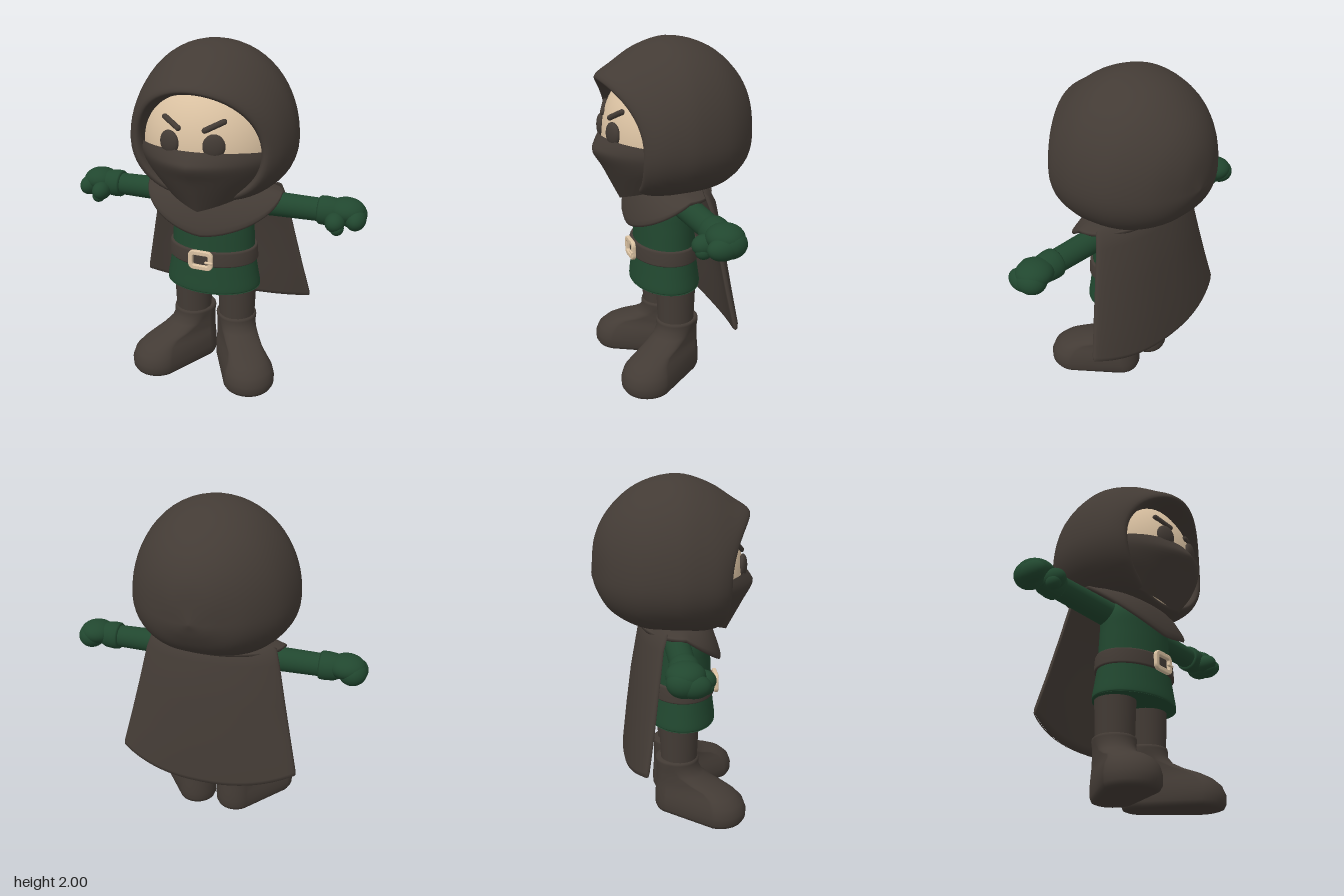
import * as THREE from 'three';

const V = (x, y, z) => new THREE.Vector3(x, y, z);
const flat = (name, color) => {
  const m = new THREE.MeshStandardMaterial({ color });
  m.name = name;
  return m;
};

// Skins a stack of closed rings, optionally capped, always facing outward.
function loft(rings, caps = true) {
  const n = rings[0].length, pts = rings.flat(), idx = [];
  for (let r = 0; r < rings.length - 1; r++) {
    for (let i = 0; i < n; i++) {
      const a = r * n + i, b = r * n + (i + 1) % n;
      idx.push(a, b, b + n, a, b + n, a + n);
    }
  }
  if (caps) {
    for (const [r, flip] of [[0, true], [rings.length - 1, false]]) {
      const c = rings[r].reduce((s, p) => s.add(p), V(0, 0, 0)).divideScalar(n);
      const k = pts.push(c) - 1;
      for (let i = 0; i < n; i++) {
        const a = r * n + i, b = r * n + (i + 1) % n;
        if (flip) idx.push(k, b, a); else idx.push(k, a, b);
      }
    }
  }
  let volume = 0;
  for (let i = 0; i < idx.length; i += 3) {
    volume += pts[idx[i]].dot(V(0, 0, 0).crossVectors(pts[idx[i + 1]], pts[idx[i + 2]]));
  }
  if (volume < 0) idx.reverse();
  const g = new THREE.BufferGeometry().setFromPoints(pts);
  g.setIndex(idx);
  g.computeVertexNormals();
  return g;
}

const ring = (n, f) => Array.from({ length: n }, (_, i) => f((i / n) * Math.PI * 2));
const lathe = (pts) => new THREE.LatheGeometry(pts.map(p => new THREE.Vector2(...p)), 40);
const curve = (pts) => new THREE.CatmullRomCurve3(pts.map(p => V(p[0], p[1], p[2] || 0)));
const lerp = THREE.MathUtils.lerp;
const spow = (v, p) => Math.sign(v) * Math.abs(v) ** p;

export function createModel() {
  const root = new THREE.Group();
  root.name = 'hoodedFigure';
  const cloth = flat('darkCloth', 0x433b35);
  const green = flat('greenCloth', 0x21472f);
  const skin = flat('paleSkin', 0xdcc3a3);
  const clothOpen = flat('maskCloth', 0x433b35);
  clothOpen.side = THREE.DoubleSide;
  const add = (name, geo, mat, parent = root) => {
    const m = new THREE.Mesh(geo, mat);
    m.name = name;
    parent.add(m);
    return m;
  };
  const blob = (name, mat, p, r, parent) => {
    const m = add(name, new THREE.SphereGeometry(1, 28, 20), mat, parent);
    m.position.set(...p);
    m.scale.set(...r);
    return m;
  };

  // Hood: top, side and bottom profiles (z, radius) blended around the head
  const top = curve([[-.465, .01], [-.44, .21], [-.36, .36], [-.2, .495], [.02, .55], [.2, .5], [.33, .42], [.42, .36], [.43, .335], [.4, .318], [.2, .3]]);
  const side = curve([[-.465, .01], [-.44, .13], [-.36, .29], [-.2, .425], [0, .475], [.12, .465], [.22, .435], [.28, .39], [.285, .365], [.26, .345], [.13, .335]]);
  const low = curve([[-.465, .01], [-.43, .1], [-.36, .2], [-.2, .28], [0, .3], [.12, .31], [.2, .31], [.24, .3], [.245, .285], [.23, .275], [.1, .25]]);
  const hoodRings = [];
  for (let i = 0; i <= 50; i++) {
    const t = i / 50, s = side.getPoint(t);
    hoodRings.push(ring(64, a => {
      const e = (Math.sin(a) > 0 ? top : low).getPoint(t), w = Math.sin(a) ** 2;
      const r = lerp(s.y, e.y, w);
      return V(r * Math.cos(a), 1.45 + r * Math.sin(a), lerp(s.x, e.x, w));
    }));
  }
  add('hood', loft(hoodRings), cloth);

  // Head, flatter below the middle
  const headGeo = new THREE.SphereGeometry(1, 48, 32);
  const hp = headGeo.attributes.position;
  for (let i = 0; i < hp.count; i++) {
    const y = hp.getY(i);
    hp.setXYZ(i, hp.getX(i) * .42, 1.45 + y * (y > 0 ? .45 : .29), hp.getZ(i) * .4);
  }
  headGeo.computeVertexNormals();
  add('head', headGeo, skin);

  // Face mask: rows of [centre y, edge y, half width, depth, ridge]
  const maskRows = [[1.475, 1.44, .43, .41, .005], [1.43, 1.41, .435, .415, .035], [1.385, 1.37, .425, .41, .055],
    [1.3, 1.33, .4, .385, .03], [1.2, 1.29, .36, .34, .025], [1.1, 1.25, .32, .29, .025]];
  const maskGeo = new THREE.PlaneGeometry(1, 1, 40, 20);
  const mp = maskGeo.attributes.position;
  const maskCurves = [0, 1, 2, 3, 4].map(k => new THREE.SplineCurve(maskRows.map((r, i) => new THREE.Vector2(i, r[k]))));
  for (let i = 0; i < mp.count; i++) {
    const u = mp.getX(i) * 2, v = .5 - mp.getY(i), a = u * 1.4;
    const [yc, ye, w, d, ridge] = maskCurves.map(c => c.getPoint(v).y);
    const k = Math.abs(u);
    mp.setXYZ(i, w * Math.sin(a), lerp(yc, ye, lerp(k, k * k, 1 - v)), d * Math.cos(a) + ridge * (1 - k) ** 2);
  }
  maskGeo.computeVertexNormals();
  add('faceMask', maskGeo, clothOpen);

  // Tunic
  const tunicProfile = new THREE.SplineCurve([[.001, .562], [.26, .562], [.282, .566], [.287, .585], [.272, .67], [.255, .78],
    [.245, .95], [.23, 1.08], [.15, 1.17], [.001, 1.19]].map(p => new THREE.Vector2(...p)));
  const tunic = add('tunic', new THREE.LatheGeometry(tunicProfile.getPoints(50), 48), green);
  tunic.scale.z = .7;
  tunic.position.z = .05;

  // Belt and buckle
  const belt = add('belt', lathe([[.24, .735], [.268, .735], [.274, .743], [.268, .815], [.262, .825], [.23, .825]]), cloth);
  belt.scale.z = .73;
  belt.position.z = .05;
  const rounded = (S, w, h, r) => {
    const s = new S();
    s.absarc(w - r, h - r, r, 0, Math.PI / 2);
    s.absarc(r - w, h - r, r, Math.PI / 2, Math.PI);
    s.absarc(r - w, r - h, r, Math.PI, Math.PI * 1.5);
    s.absarc(w - r, r - h, r, Math.PI * 1.5, Math.PI * 2);
    s.closePath();
    return s;
  };
  const frame = rounded(THREE.Shape, .069, .053, .028);
  frame.holes.push(rounded(THREE.Path, .053, .037, .016));
  add('buckleFrame', new THREE.ExtrudeGeometry(frame, { depth: .012, bevelSize: .006, bevelThickness: .006, bevelSegments: 3 }), skin)
    .position.set(-.005, .778, .25);
  const prong = add('bucklePin', new THREE.CapsuleGeometry(.008, .035, 4, 10), skin);
  prong.rotation.z = Math.PI / 2;
  prong.position.set(.048, .772, .268);

  // Cowl draped over the shoulders: rows of [spread, lift towards neck, drop]
  const cowlRows = [[.45, 1, 0], [.65, .85, 0], [.82, .6, 0], [.93, .3, 0], [.985, .12, 0], [1, 0, 0], [.985, 0, .015], [.94, 0, .012], [.7, .2, 0]];
  add('cowl', loft(cowlRows.map(([s, lift, drop]) => ring(56, a => {
    const f = Math.max(0, Math.cos(a));
    const edge = .95 + .215 * (1 - f) ** .75;
    return V(.41 * s * Math.sin(a), lerp(edge, 1.2, lift) - drop, .04 + .24 * s * Math.cos(a));
  }))), cloth);

  // Cape: rows of [centre y, edge y, half width, centre z, edge z, half thickness]
  const capeRows = [[1.19, 1.19, .35, -.12, -.06, .001], [1.18, 1.18, .375, -.14, -.065, .025], [1.1, 1.1, .4, -.18, -.09, .028],
    [.85, .87, .45, -.225, -.12, .028], [.6, .65, .5, -.255, -.15, .03], [.37, .46, .545, -.28, -.18, .03],
    [.345, .435, .547, -.283, -.183, .022], [.335, .425, .54, -.285, -.185, .001]];
  add('cape', loft(capeRows.map(([yc, ye, w, zc, ze, t]) => ring(72, a => {
    const u = spow(Math.cos(a), .8), k = Math.abs(u) ** 2.3;
    return V(w * u, lerp(yc, ye, k), lerp(zc, ze, k) + t * spow(Math.sin(a), .5));
  })), false), cloth);

  // Boot rows: [y, toe offset, toe radius, heel radius]
  const bootRows = [[.005, .3, .12, .095], [.012, .3, .14, .113], [.035, .3, .153, .122], [.08, .3, .155, .124], [.13, .29, .145, .121],
    [.17, .268, .122, .118], [.2, .22, .108, .115], [.225, .14, .108, .115], [.26, .065, .109, .115], [.3, .03, .113, .116],
    [.335, .022, .12, .121], [.348, .022, .118, .118], [.354, .022, .108, .108]];

  for (const s of [1, -1]) {
    const label = s > 0 ? 'left' : 'right';

    // Eye and brow
    blob(label + 'Eye', cloth, [s * .125, 1.505, .38], [.06, .066, .026]).rotation.y = s * .29;
    const p = V(s * .07, 1.583, .382), q = V(s * .17, 1.632, .336);
    const brow = add(label + 'Brow', new THREE.CapsuleGeometry(.016, p.distanceTo(q) - .012, 6, 12), cloth);
    brow.position.copy(p).add(q).multiplyScalar(.5);
    brow.quaternion.setFromUnitVectors(V(0, 1, 0), q.clone().sub(p).normalize());

    // Arm with gloved hand
    const arm = new THREE.Group();
    arm.name = label + 'Arm';
    root.add(arm);
    const limb = (name, pts) => {
      const m = add(name, lathe(pts), green, arm);
      m.rotation.z = -s * Math.PI / 2;
      m.position.set(0, 1.085, .005);
    };
    limb('sleeve', [[.075, .15], [.07, .4], [.066, .63]]);
    limb('gloveCuff', [[.05, .612], [.074, .612], [.081, .622], [.083, .65], [.078, .7], [.06, .74]]);
    blob('palm', green, [s * .765, 1.1, 0], [.105, .07, .1], arm);
    blob('knuckles', green, [s * .8, 1.075, -.01], [.08, .075, .09], arm);
    blob('fingers', green, [s * .825, 1.065, .035], [.057, .06, .085], arm);
    blob('thumb', green, [s * .72, 1.055, .09], [.055, .055, .068], arm).rotation.z = s * .5;
    blob('thumbTip', green, [s * .735, 1.025, .1], [.038, .04, .045], arm);

    // Leg and splayed boot
    const leg = add(label + 'Leg', new THREE.CylinderGeometry(.118, .108, .26, 32), cloth);
    leg.position.set(s * .142, .46, .025);
    const dx = .545 * s, dz = .838;
    add(label + 'Boot', loft(bootRows.map(([y, d, rt, rh]) => ring(48, a => {
      const f = Math.cos(a), toe = f >= 0;
      const along = f * (toe ? rt : rh) + (toe ? d : 0), across = Math.sin(a) * (toe ? rt : rh);
      return V(s * .13 + along * dx + across * dz, y, .005 + along * dz - across * dx);
    }))), cloth);
  }
  return root;
}
